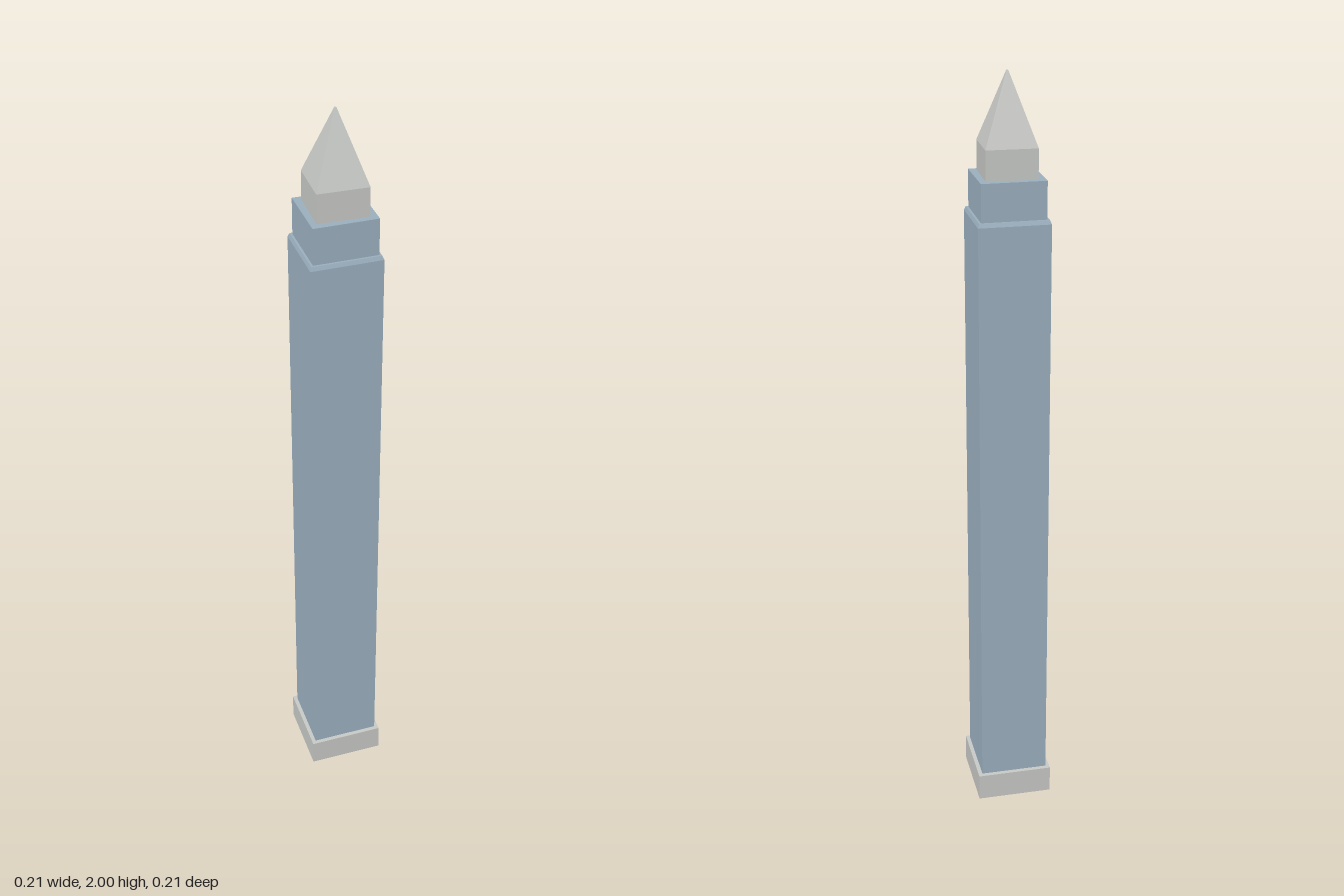
import * as THREE from 'three';

export function createModel() {
  const group = new THREE.Group();
  group.name = 'obelisk';
  const stone = new THREE.MeshStandardMaterial({ color: 0xc6c8c5, flatShading: true, side: THREE.DoubleSide });
  stone.name = 'pale stone';
  const slate = new THREE.MeshStandardMaterial({ color: 0x9aaebd, flatShading: true, side: THREE.DoubleSide });
  slate.name = 'blue slate';

  // Square tapered block from y0 to y1, given its bottom and top widths
  function block(name, material, y0, y1, bottom, top, twist = 0, open = false) {
    const r = Math.SQRT1_2;
    const geometry = new THREE.CylinderGeometry(top * r, bottom * r, y1 - y0, 4, 1, open);
    geometry.rotateY(Math.PI / 4);
    const mesh = new THREE.Mesh(geometry, material);
    mesh.name = name;
    mesh.position.y = (y0 + y1) / 2;
    mesh.rotation.y = twist;
    group.add(mesh);
    return mesh;
  }

  const twist = 0.028;

  // Plinth: four walls and a lid, hollow underneath
  block('plinthWalls', stone, 0, 0.075, 0.203, 0.203, twist, true);
  const lid = new THREE.Mesh(new THREE.PlaneGeometry(0.203, 0.203).rotateX(-Math.PI / 2), stone);
  lid.name = 'plinthLid';
  lid.position.y = 0.075;
  lid.rotation.y = twist;
  group.add(lid);

  // Shaft with a small bevelled shoulder, then the narrower upper tier
  block('shaft', slate, 0.076, 1.645, 0.182, 0.182, twist);
  block('shoulder', slate, 1.645, 1.655, 0.182, 0.174, twist);
  block('upperTier', slate, 1.655, 1.75, 0.163, 0.163, twist);

  // Square cap and its pyramid, set straight
  block('capBlock', stone, 1.75, 1.825, 0.129, 0.129);
  block('pyramid', stone, 1.825, 2, 0.129, 0.004);

  return group;
}
